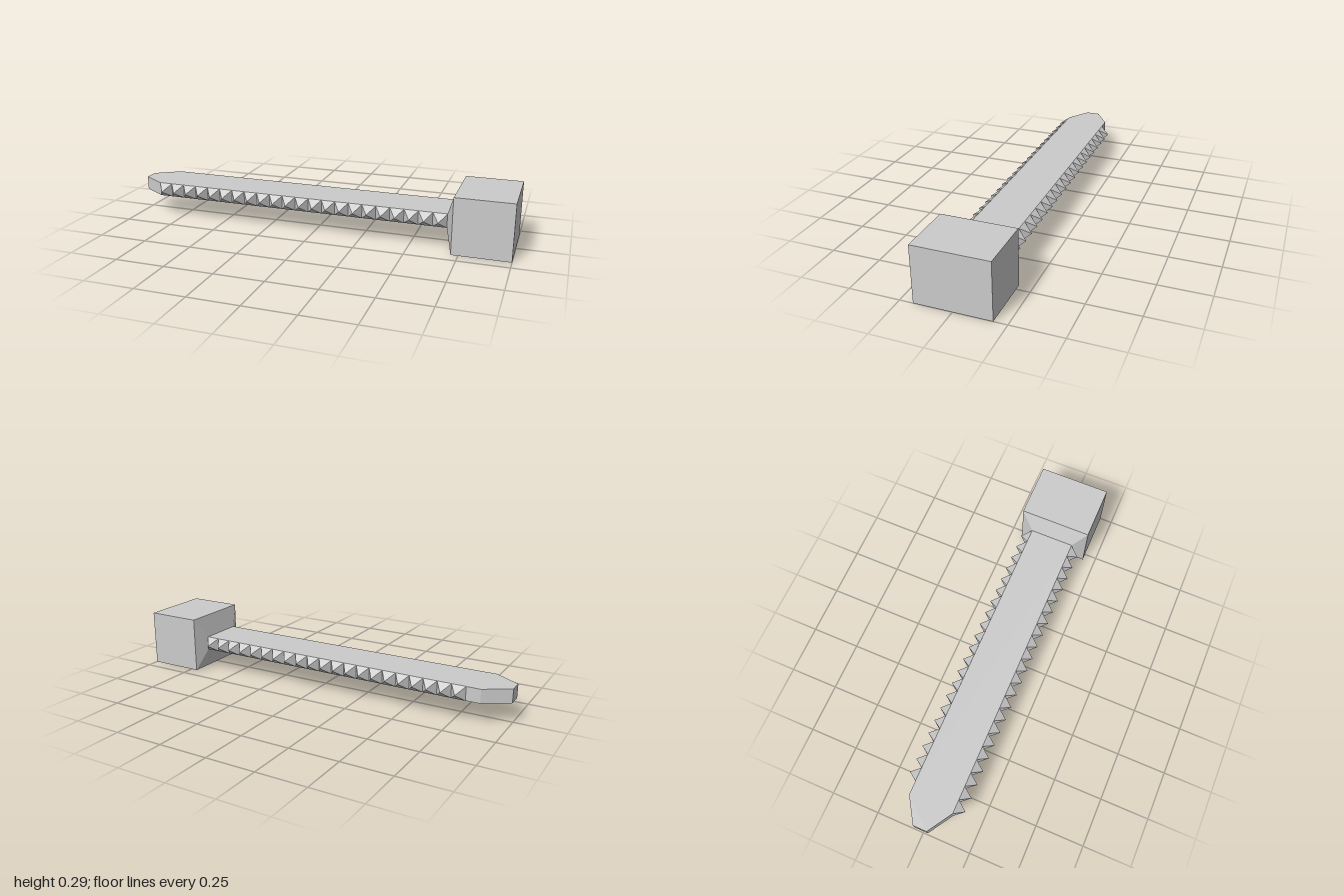
import * as THREE from 'three';

const material = new THREE.MeshStandardMaterial({ color: 0xcccccc, flatShading: true });
const MID_Y = 0.143;      // centre height of the whole piece
const HALF_W = 0.115;     // half width of the blade
const THICK = 0.07;       // blade thickness
const NECK_X = 0.68;      // where the blade meets the neck
const HEAD_X = 0.715;     // where the neck meets the head

function addMesh(parent, name, geometry, x = 0, y = 0, z = 0) {
  const mesh = new THREE.Mesh(geometry, material);
  mesh.name = name;
  mesh.position.set(x, y, z);
  parent.add(mesh);
  return mesh;
}

// Flat bar with a blunt tapered tip
function bladeGeometry() {
  const shape = new THREE.Shape([
    [-1, -0.036], [-0.875, -HALF_W], [NECK_X, -HALF_W],
    [NECK_X, HALF_W], [-0.875, HALF_W], [-1, 0.036],
  ].map(([x, z]) => new THREE.Vector2(x, z)));
  return new THREE.ExtrudeGeometry(shape, { depth: THICK, bevelEnabled: false })
    .rotateX(-Math.PI / 2)
    .translate(0, -THICK / 2, 0);
}

// Box whose blade end is narrowed to the blade's cross-section
function neckGeometry(headHeight, headWidth) {
  const geometry = new THREE.BoxGeometry(HEAD_X - NECK_X, headHeight, headWidth);
  const p = geometry.attributes.position;
  for (let i = 0; i < p.count; i++) {
    if (p.getX(i) < 0) {
      p.setY(i, Math.sign(p.getY(i)) * THICK / 2);
      p.setZ(i, Math.sign(p.getZ(i)) * HALF_W);
    }
  }
  geometry.computeVertexNormals();
  return geometry;
}

// Row of square pyramids along one edge, ending at the neck
function addSpikes(parent, name, side, count) {
  const row = new THREE.Group();
  row.name = name;
  const pitch = 0.0707, height = 0.05;
  const spike = new THREE.ConeGeometry(pitch / Math.SQRT2, height, 4, 1, true)
    .rotateY(Math.PI / 4)
    .rotateX(side * Math.PI / 2);
  for (let i = 0; i < count; i++) {
    addMesh(row, 'spike', spike, NECK_X - (i + 0.5) * pitch, MID_Y, side * (HALF_W + height / 2));
  }
  parent.add(row);
}

export function createModel() {
  const group = new THREE.Group();
  group.name = 'spikedClub';
  const headHeight = 0.286, headWidth = 0.37;

  addMesh(group, 'blade', bladeGeometry(), 0, MID_Y, 0);
  addMesh(group, 'neck', neckGeometry(headHeight, headWidth), (NECK_X + HEAD_X) / 2, MID_Y, 0);
  addMesh(group, 'head', new THREE.BoxGeometry(1 - HEAD_X, headHeight, headWidth), (1 + HEAD_X) / 2, MID_Y, 0);
  addSpikes(group, 'frontSpikes', 1, 22);
  addSpikes(group, 'backSpikes', -1, 21);
  return group;
}
